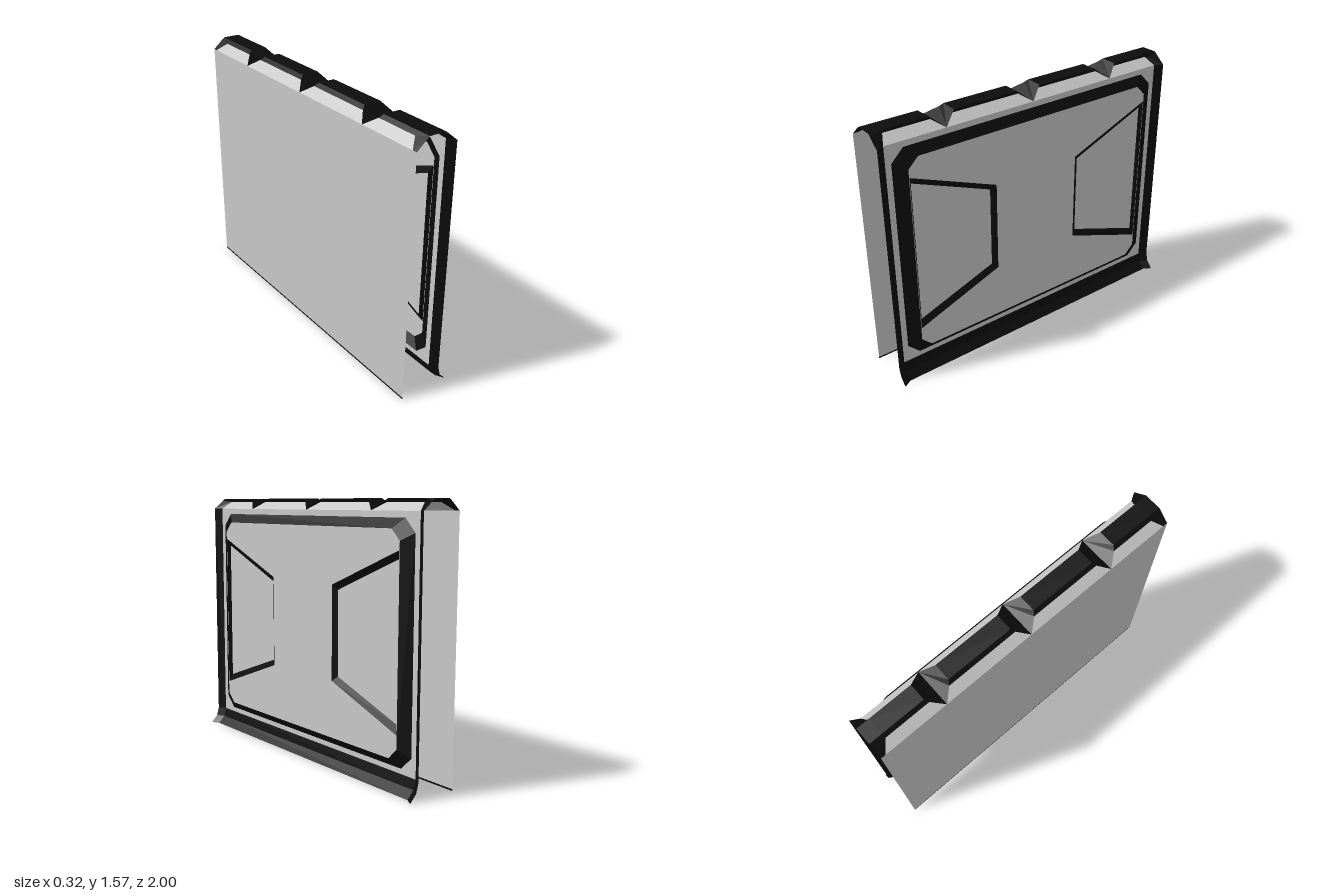
import * as THREE from 'three';

const black = new THREE.MeshStandardMaterial({ color: 0x0c0c0c, side: THREE.DoubleSide });
black.name = 'black trim';
const grey = new THREE.MeshStandardMaterial({ color: 0xc8c8c8, side: THREE.DoubleSide });
grey.name = 'light grey sheet';

// Flat-faced mesh from a list of convex polygons of [x, y, z] points
function sheet(name, material, polygons) {
  const pos = [];
  for (const p of polygons) {
    for (let i = 1; i < p.length - 1; i++) pos.push(...p[0], ...p[i], ...p[i + 1]);
  }
  const g = new THREE.BufferGeometry();
  g.setAttribute('position', new THREE.Float32BufferAttribute(pos, 3));
  g.computeVertexNormals();
  const mesh = new THREE.Mesh(g, material);
  mesh.name = name;
  return mesh;
}

// Quads joining two rows of points
function band(a, b, closed = false) {
  const quads = [];
  for (let i = 0; i < a.length - (closed ? 0 : 1); i++) {
    const j = (i + 1) % a.length;
    quads.push([a[i], b[i], b[j], a[j]]);
  }
  return quads;
}

// Flat plate facing +x from an outline of [z, y] points, with holes
function plate(name, material, x, outline, holes = []) {
  const toVec = (pts) => pts.map(([z, y]) => new THREE.Vector2(-z, y));
  const shape = new THREE.Shape(toVec(outline));
  holes.forEach((h) => shape.holes.push(new THREE.Path(toVec(h))));
  const mesh = new THREE.Mesh(new THREE.ShapeGeometry(shape).rotateY(Math.PI / 2), material);
  mesh.position.x = x;
  mesh.name = name;
  return mesh;
}

// Rectangle in z and y with cut corners
function cutRect(w, y0, y1, c) {
  return [[w, y0 + c], [w, y1 - c], [w - c, y1], [c - w, y1],
    [-w, y1 - c], [-w, y0 + c], [c - w, y0], [w - c, y0]];
}

const at = (x, pts) => pts.map(([z, y]) => [x, y, z]);

export function createModel() {
  const model = new THREE.Group();
  model.name = 'wallPanel';
  const base = 0.07, raised = 0.107, recess = 0.087;

  // Plain sheet on the back with a thin lower edge
  model.add(plate('backSheet', grey, -0.16, [[1, 0.01], [1, 1.5], [-1, 1.5], [-1, 0.01]]));
  model.add(plate('backSheetEdge', black, -0.16, [[1, 0], [1, 0.01], [-1, 0.01], [-1, 0]]));

  // Front panel: border, sloping frame and raised centre
  const outer = cutRect(0.915, 0.13, 1.465, 0.075);
  const inner = cutRect(0.84, 0.18, 1.41, 0.062);
  model.add(plate('panelBorder', grey, base,
    [[0.95, 0.1], [0.95, 1.5], [-0.95, 1.5], [-0.95, 0.1]], [outer]));
  model.add(sheet('panelFrame', black, band(at(base, outer), at(raised, inner), true)));

  // Sunken trapezoid at each end of the panel
  const rims = [];
  for (const s of [1, -1]) {
    const rim = [[0.837, 1.3], [0.29, 1.08], [0.29, 0.52], [0.837, 0.32]].map(([z, y]) => [s * z, y]);
    const floor = [[0.822, 1.255], [0.322, 1.052], [0.322, 0.548], [0.822, 0.37]].map(([z, y]) => [s * z, y]);
    rims.push(rim);
    model.add(sheet('recessWall', black, band(at(raised, rim), at(recess, floor), true)));
    model.add(plate('recessFloor', grey, recess, floor));
  }
  model.add(plate('panelCentre', grey, raised, inner, rims));

  // Flared side edges and the curved lip at the foot
  const levels = [[0.07, 1.5], [0.07, 0.1], [0.085, 0.045], [0.127, 0]];
  const column = (z, dx) => levels.map(([x, y]) => [x + dx, y, z]);
  for (const s of [1, -1]) {
    model.add(sheet('sideFlare', black, band(column(s, 0.029), column(s * 0.95, 0))));
  }
  model.add(sheet('footLip', black, band(column(0.95, 0).slice(1), column(-0.95, 0).slice(1))));

  // Top ridge: four hipped lengths between V notches
  const ridge = [[0.07, 1.5], [0.013, 1.545], [0.02, 1.565], [-0.083, 1.565], [-0.105, 1.545], [-0.16, 1.5]];
  const notchInset = [0, 0.065, 0.08, 0.08, 0.065, 0];
  const endInset = [0.05, 0.08, 0.08, 0.08, 0.08, 0.03];
  const endArch = [[0.1, 1.5], [0.035, 1.553], [0.02, 1.565], [-0.083, 1.565], [-0.108, 1.545], [-0.16, 1.5]];
  const row = (z, dir, inset) => ridge.map(([x, y], i) => [x, y, z + dir * inset[i]]);
  const stops = [-1, -0.575, 0, 0.575, 1];
  for (let k = 0; k < 4; k++) {
    const a = row(stops[k], 1, k === 0 ? endInset : notchInset);
    const b = row(stops[k + 1], -1, k === 3 ? endInset : notchInset);
    const q = band(a, b);
    model.add(sheet('ridgeSlopes', grey, [q[0], q[4]]));
    model.add(sheet('ridgeTop', black, q.slice(1, 4)));
    if (k > 0) model.add(sheet('notchFace', black, [a]));
    if (k < 3) model.add(sheet('notchFace', black, [b]));
  }
  for (const s of [1, -1]) {
    const arch = endArch.map(([x, y]) => [x, y, s]);
    model.add(sheet('ridgeEndArch', black, band(arch, row(s, -s, endInset))));
  }
  return model;
}
